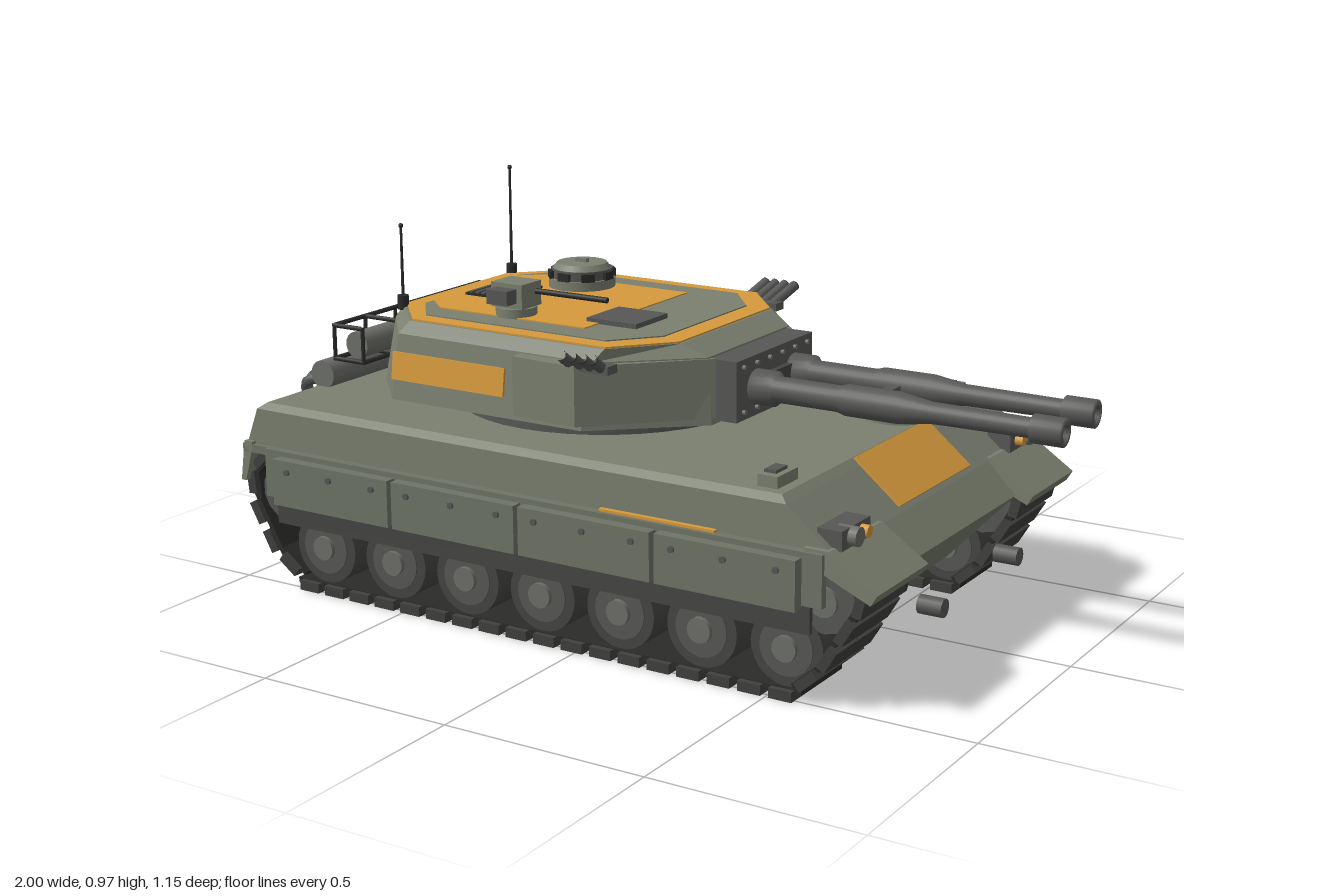
import * as THREE from 'three';

const mat = (name, color, side = THREE.FrontSide) => {
  const m = new THREE.MeshStandardMaterial({ color, side });
  m.name = name;
  return m;
};

export function createModel() {
  const root = new THREE.Group();
  root.name = 'tank';
  const olive = mat('olive armour', 0x7b8070);
  const skirtGreen = mat('skirt olive', 0x6f7466);
  const steel = mat('dark steel', 0x575856);
  const rubber = mat('rubber', 0x454543);
  const trackMat = mat('track metal', 0x40403e);
  const black = mat('black', 0x2b2c2a);
  const orange = mat('orange paint', 0xd69a3c);
  const hub = mat('hub grey', 0x6d6f69);

  const add = (name, geo, m, x = 0, y = 0, z = 0) => {
    const mesh = new THREE.Mesh(geo, m);
    mesh.name = name;
    mesh.position.set(x, y, z);
    root.add(mesh);
    return mesh;
  };
  const box = (name, m, w, h, d, x, y, z) => add(name, new THREE.BoxGeometry(w, h, d), m, x, y, z);
  const cyl = (name, m, r, len, axis, x, y, z, seg = 20, r2 = r) => {
    const g = new THREE.CylinderGeometry(r2, r, len, seg);
    if (axis === 'x') g.rotateZ(-Math.PI / 2);
    if (axis === 'z') g.rotateX(Math.PI / 2);
    return add(name, g, m, x, y, z);
  };
  const shape = pts => new THREE.Shape(pts.map(p => new THREE.Vector2(...p)));
  // side profile (x, y) extruded across z
  const slab = (name, m, pts, z0, z1) =>
    add(name, new THREE.ExtrudeGeometry(shape(pts), { depth: z1 - z0, bevelEnabled: false }), m, 0, 0, z0);
  // plan outline (x, z) extruded downward from y
  const plate = (name, m, pts, top, h) => {
    const g = new THREE.ExtrudeGeometry(shape(pts), { depth: h, bevelEnabled: false });
    return add(name, g.rotateX(Math.PI / 2), m, 0, top, 0);
  };
  const rod = (name, m, a, b, r, seg = 8) => {
    const line = new THREE.LineCurve3(new THREE.Vector3(...a), new THREE.Vector3(...b));
    return add(name, new THREE.TubeGeometry(line, 1, r, seg), m);
  };
  // half outline (x, z >= 0, front to rear) mirrored to a closed plan
  const mirrored = half => [...half, ...half.slice().reverse().map(([x, z]) => [x, -z])];
  // solid skinned through stacked plan outlines, flat faces
  const loft = (name, m, rings) => {
    const v = [];
    const put = (ring, i) => v.push(ring.pts[i][0], ring.y, ring.pts[i][1]);
    const n = rings[0].pts.length;
    for (let k = 0; k + 1 < rings.length; k++) for (let i = 0; i < n; i++) {
      const a = rings[k], b = rings[k + 1], j = (i + 1) % n;
      put(a, i); put(b, i); put(a, j);
      put(a, j); put(b, i); put(b, j);
    }
    const lo = rings[0], hi = rings[rings.length - 1];
    for (let i = 1; i + 1 < n; i++) {
      put(hi, 0); put(hi, i + 1); put(hi, i);
      put(lo, 0); put(lo, i); put(lo, i + 1);
    }
    const g = new THREE.BufferGeometry();
    g.setAttribute('position', new THREE.Float32BufferAttribute(v, 3));
    g.computeVertexNormals();
    return add(name, g, m);
  };

  // Hull
  slab('lowerHull', olive, [[-0.88, 0.1], [0.55, 0.1], [0.73, 0.29], [0.65, 0.37], [-0.96, 0.37]], -0.29, 0.29);
  loft('upperHull', olive, [
    { y: 0.365, pts: mirrored([[0.66, 0.517], [-0.965, 0.517]]) },
    { y: 0.455, pts: mirrored([[0.55, 0.517], [-0.93, 0.517]]) },
    { y: 0.47, pts: mirrored([[0.53, 0.5], [-0.91, 0.5]]) }]);
  box('fenderShelf', skirtGreen, 1.62, 0.02, 1.06, -0.16, 0.355, 0);
  const glacis = box('glacisPanel', orange, 0.15, 0.006, 0.37, 0.596, 0.425, 0);
  glacis.rotation.z = Math.atan2(-0.09, 0.11);
  cyl('driverHatch', olive, 0.085, 0.014, 'y', 0.46, 0.476, -0.19, 28);
  box('driverPeriscope', black, 0.025, 0.025, 0.06, 0.535, 0.472, -0.23);
  cyl('deckRoll', hub, 0.036, 0.62, 'z', -0.896, 0.5, 0);

  // Running gear and side fittings, mirrored
  const wheelXs = Array.from({ length: 7 }, (_, i) => -0.75 + i * 0.215);
  const trackPath = new THREE.Path([[-0.79, 0.019], [0.55, 0.019], [0.63, 0.09], [0.72, 0.24], [0.735, 0.3],
    [0.69, 0.335], [-0.92, 0.335], [-0.965, 0.29], [-0.955, 0.2], [-0.9, 0.1], [-0.79, 0.019]]
    .map(p => new THREE.Vector2(...p)));
  const LINKS = 48;
  for (const s of [1, -1]) {
    for (let i = 0; i < LINKS; i++) {
      const u = i / LINKS, p = trackPath.getPointAt(u), t = trackPath.getTangentAt(u);
      const a = Math.atan2(t.y, t.x);
      box('trackPad', trackMat, 0.058, 0.024, 0.22, p.x, p.y, s * 0.405).rotation.z = a;
      box('trackLink', black, 0.09, 0.012, 0.19, p.x - t.y * 0.008, p.y + t.x * 0.008, s * 0.405).rotation.z = a;
    }
    for (const x of wheelXs) {
      cyl('roadWheel', rubber, 0.09, 0.17, 'z', x, 0.122, s * 0.405, 28);
      cyl('wheelDisc', steel, 0.066, 0.178, 'z', x, 0.122, s * 0.405, 24);
      cyl('wheelHub', hub, 0.03, 0.2, 'z', x, 0.122, s * 0.405, 16);
    }
    for (const x of [-0.87, 0.63]) {
      cyl('endSprocket', steel, 0.075, 0.17, 'z', x, 0.245, s * 0.405, 14);
      cyl('sprocketHub', hub, 0.035, 0.19, 'z', x, 0.245, s * 0.405, 14);
    }
    // Skirt panels with bolts
    box('rubberFlap', rubber, 1.48, 0.08, 0.012, -0.12, 0.22, s * 0.53);
    box('skirtBacking', skirtGreen, 1.54, 0.12, 0.02, -0.12, 0.305, s * 0.53);
    for (let i = 0; i < 4; i++) {
      const x = -0.667 + i * 0.364;
      box('skirtPanel', skirtGreen, 0.352, 0.115, 0.028, x, 0.295, s * 0.554);
      for (const dx of [-0.13, 0, 0.13])
        cyl('skirtBolt', steel, 0.008, 0.01, 'z', x + dx, 0.325, s * 0.569, 8);
    }
    box('shelfStripe', orange, 0.3, 0.006, 0.013, 0.23, 0.368, s * 0.523);
    // Front and rear mudguards
    const z0 = s > 0 ? 0.285 : -0.53;
    slab('frontMudguard', olive, [[0.6, 0.34], [0.76, 0.27], [0.775, 0.295], [0.66, 0.372], [0.6, 0.372]], z0, z0 + 0.245);
    slab('rearMudguard', olive, [[-0.98, 0.27], [-0.965, 0.27], [-0.94, 0.36], [-0.94, 0.372], [-0.965, 0.372]], z0, z0 + 0.245);
    // Lights, deck boxes, tow points
    box('lightBase', steel, 0.06, 0.045, 0.13, 0.645, 0.388, s * 0.435);
    cyl('headlight', hub, 0.022, 0.05, 'x', 0.67, 0.39, s * 0.455, 18);
    cyl('turnSignal', orange, 0.014, 0.05, 'x', 0.67, 0.39, s * 0.41, 14);
    box('deckBox', olive, 0.05, 0.03, 0.09, 0.48, 0.482, s * 0.43);
    box('deckBoxLid', steel, 0.03, 0.012, 0.05, 0.475, 0.498, s * 0.43);
    box('rearLamp', steel, 0.03, 0.05, 0.05, -0.965, 0.4, s * 0.4);
    cyl('towPin', steel, 0.022, 0.06, 'x', 0.75, 0.168, s * 0.205, 16);
    const cable = new THREE.CatmullRomCurve3([[-0.91, 0.48, 0.27], [-0.965, 0.47, 0.29], [-0.985, 0.38, 0.25],
      [-0.975, 0.28, 0.27], [-0.95, 0.22, 0.25]].map(([x, y, z]) => new THREE.Vector3(x, y, z * s)));
    add('towCable', new THREE.TubeGeometry(cable, 16, 0.014, 8), steel);
    const shackle = add('cableEye', new THREE.TorusGeometry(0.025, 0.01, 8, 16), steel, -0.965, 0.46, s * 0.26);
    shackle.rotation.y = Math.PI / 2;
  }

  // Turret body
  cyl('turretRing', steel, 0.37, 0.04, 'y', -0.24, 0.485, 0, 40);
  loft('turretBody', olive, [
    { y: 0.495, pts: mirrored([[0.17, 0.19], [-0.06, 0.39], [-0.61, 0.39], [-0.75, 0.24]]) },
    { y: 0.655, pts: mirrored([[0.16, 0.19], [-0.04, 0.37], [-0.6, 0.37], [-0.72, 0.23]]) },
    { y: 0.685, pts: mirrored([[0.1, 0.21], [-0.02, 0.35], [-0.58, 0.35], [-0.705, 0.215]]) }]);
  plate('roofBand', orange, mirrored([[0.095, 0.21], [-0.02, 0.345], [-0.575, 0.345], [-0.7, 0.21]]), 0.689, 0.006);
  plate('roofField', olive, mirrored([[0.04, 0.19], [-0.05, 0.3], [-0.57, 0.3], [-0.65, 0.2]]), 0.692, 0.006);
  plate('roofPanel', orange, mirrored([[-0.155, 0.23], [-0.58, 0.23], [-0.652, 0.165]]), 0.695, 0.006);
  for (const s of [1, -1]) {
    const cheek = [[0.175, 0.18], [-0.06, 0.415], [-0.24, 0.405], [-0.24, 0.36], [0.08, 0.17]];
    plate('cheekArmour', olive, cheek.map(([x, z]) => [x, z * s]), 0.652, 0.142);
    box('sidePanel', orange, 0.33, 0.068, 0.008, -0.445, 0.578, s * 0.382).rotation.x = -s * 0.124;
    // Smoke launchers
    box('launcherBracket', steel, 0.13, 0.02, 0.04, -0.04, 0.65, s * 0.385);
    for (let i = 0; i < 4; i++) {
      const x = -0.085 + i * 0.028;
      rod('smokeTube', steel, [x, 0.648, s * 0.385], [x + 0.025, 0.69, s * 0.465], 0.013, 10);
      rod('smokeTubeCap', black, [x + 0.0245, 0.6892, s * 0.4635], [x + 0.0255, 0.691, s * 0.467], 0.0125, 10).material = black;
    }
  }

  // Mantlet and twin guns
  box('mantlet', steel, 0.1, 0.145, 0.36, 0.18, 0.578, 0);
  box('mantletLink', rubber, 0.02, 0.05, 0.14, 0.235, 0.575, 0);
  for (let i = 0; i < 6; i++) for (const y of [0.525, 0.632])
    cyl('mantletBolt', hub, 0.006, 0.01, 'x', 0.233, y, -0.15 + i * 0.06, 8);
  const barrel = [[0, 0.22], [0.042, 0.22], [0.042, 0.285], [0.031, 0.29], [0.031, 0.45], [0.037, 0.47], [0.037, 0.6],
    [0.025, 0.68], [0.023, 0.92], [0.033, 0.925], [0.033, 0.998], [0.017, 1], [0.017, 0.95], [0, 0.95]];
  for (const z of [0.09, -0.09]) {
    const pts = barrel.map(p => new THREE.Vector2(...p));
    const g = new THREE.LatheGeometry(pts, 24).rotateZ(-Math.PI / 2);
    add('gunBarrel', g, steel, 0, 0.575, z);
    cyl('boreShadow', black, 0.0165, 0.004, 'x', 0.954, 0.575, z);
  }
  box('barrelBrace', steel, 0.025, 0.025, 0.16, 0.52, 0.572, 0);

  // Commander cupola
  cyl('cupolaBase', olive, 0.085, 0.03, 'y', -0.43, 0.704, -0.165, 28);
  cyl('cupolaVision', steel, 0.078, 0.025, 'y', -0.43, 0.73, -0.165, 28);
  cyl('cupolaHatch', olive, 0.074, 0.014, 'y', -0.43, 0.749, -0.165, 28, 0.064);
  box('hatchHandle', olive, 0.035, 0.012, 0.012, -0.43, 0.76, -0.165);
  for (let i = 0; i < 8; i++) {
    const a = i * Math.PI / 4;
    box('visionBlock', black, 0.014, 0.02, 0.034, -0.43 + 0.078 * Math.cos(a), 0.728, -0.165 + 0.078 * Math.sin(a)).rotation.y = -a;
  }

  // Remote machine gun
  cyl('gunMountBase', olive, 0.05, 0.025, 'y', -0.38, 0.702, 0.19, 20);
  box('gunMountBody', olive, 0.09, 0.06, 0.08, -0.38, 0.746, 0.19);
  box('ammoBox', steel, 0.06, 0.035, 0.04, -0.38, 0.748, 0.25);
  box('gunSight', olive, 0.04, 0.04, 0.035, -0.39, 0.745, 0.132);
  cyl('machineGunBarrel', black, 0.007, 0.24, 'x', -0.25, 0.752, 0.17, 10);

  // Roof hatch and engine grille
  box('roofHatch', steel, 0.14, 0.012, 0.14, -0.12, 0.698, 0.1);
  box('grilleFrame', black, 0.12, 0.008, 0.165, -0.555, 0.697, 0);
  for (let i = 0; i < 6; i++) box('grilleSlat', steel, 0.009, 0.01, 0.155, -0.602 + i * 0.019, 0.7, 0);

  // Antennas
  for (const [z, top] of [[-0.225, 0.968], [0.23, 0.886]]) {
    cyl('antennaBase', black, 0.014, 0.035, 'y', -0.695, 0.695, z, 12);
    cyl('antennaRod', black, 0.004, top - 0.69, 'y', -0.695, (top + 0.69) / 2, z, 8, 0.003);
    add('antennaTip', new THREE.SphereGeometry(0.006, 10, 8), black, -0.695, top, z);
  }

  // Stowage rack behind the turret
  cyl('stowedRoll', hub, 0.034, 0.54, 'z', -0.815, 0.578, 0);
  for (const y of [0.545, 0.63]) {
    rod('rackRail', black, [-0.86, y, -0.3], [-0.86, y, 0.3], 0.006);
    for (const z of [-0.3, 0.3]) rod('rackSide', black, [-0.86, y, z], [-0.77, y, z], 0.006);
    for (const z of [-0.18, 0.18]) rod('rackArm', black, [-0.86, y, z], [-0.71, y, z], 0.006);
  }
  rod('rackInnerRail', black, [-0.77, 0.545, -0.3], [-0.77, 0.545, 0.3], 0.006);
  for (let i = 0; i < 6; i++) rod('rackPost', black, [-0.86, 0.54, -0.3 + i * 0.12], [-0.86, 0.635, -0.3 + i * 0.12], 0.005);
  for (const z of [-0.3, 0.3]) rod('rackEndPost', black, [-0.77, 0.54, z], [-0.77, 0.635, z], 0.005);

  return root;
}
